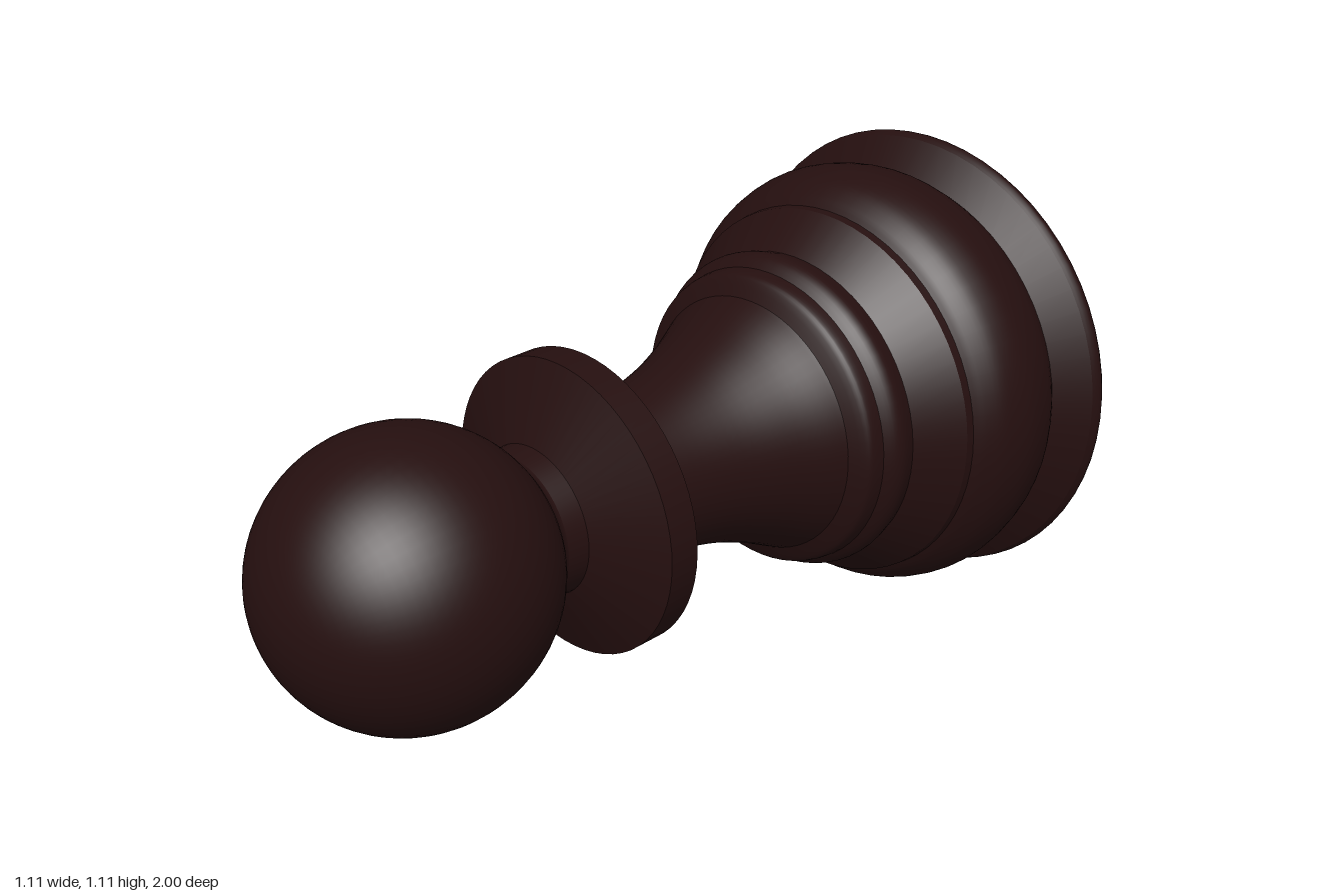
import * as THREE from 'three';

const AXIS_Y = 0.557;

export function createModel() {
  const group = new THREE.Group();
  const darkWood = new THREE.MeshStandardMaterial({ color: 0x250f0f });
  darkWood.name = 'darkWood';

  // Turned part lying along z; profile points are [radius, z], back to front.
  // Separate parts keep a sharp edge where they meet.
  function turned(name, points) {
    const geometry = new THREE.LatheGeometry(points.map(([r, z]) => new THREE.Vector2(r, z)), 64);
    geometry.rotateX(Math.PI / 2);
    const mesh = new THREE.Mesh(geometry, darkWood);
    mesh.name = name;
    mesh.position.y = AXIS_Y;
    group.add(mesh);
  }

  // Smooth profile through a few points
  function smooth(points, divisions) {
    const curve = new THREE.SplineCurve(points.map(([r, z]) => new THREE.Vector2(r, z)));
    return curve.getPoints(divisions).map((p) => [p.x, p.y]);
  }

  // Foot: flat underside and bevelled rim
  turned('footUnderside', [[0, -1], [0.475, -1]]);
  turned('footBevel', [[0.475, -1], [0.546, -0.915]]);
  turned('footRim', smooth([[0.546, -0.915], [0.556, -0.895], [0.547, -0.875]], 6));
  turned('footShoulder', [[0.547, -0.875], [0.475, -0.82]]);

  // Rounded belly of the base
  turned('baseBelly', smooth([[0.475, -0.82], [0.502, -0.77], [0.517, -0.69],
    [0.503, -0.62], [0.475, -0.575], [0.452, -0.555]], 24));
  turned('baseLedge', [[0.452, -0.555], [0.45, -0.535]]);
  turned('baseSlope', [[0.45, -0.535], [0.373, -0.44]]);

  // Stacked rings below the stem
  turned('lowerRing', smooth([[0.373, -0.44], [0.381, -0.405], [0.374, -0.38], [0.356, -0.36]], 10));
  turned('upperRing', smooth([[0.356, -0.36], [0.352, -0.335], [0.342, -0.32], [0.305, -0.3]], 10));

  // Flared stem
  turned('stem', smooth([[0.305, -0.3], [0.295, -0.28], [0.256, -0.2], [0.219, -0.1],
    [0.196, 0], [0.184, 0.1], [0.18, 0.2]], 24));

  // Collar with flat back and tapered front
  turned('collarBack', [[0.18, 0.2], [0.335, 0.2]]);
  turned('collarRim', [[0.335, 0.2], [0.335, 0.272]]);
  turned('collarTaper', [[0.335, 0.272], [0.168, 0.345]]);
  turned('neck', [[0.168, 0.345], [0.163, 0.395]]);

  // Ball head, cut off where it joins the neck
  const head = [[0.163, 0.395]];
  const start = -1.02;
  for (let i = 0; i <= 32; i++) {
    const a = start + (Math.PI / 2 - start) * (i / 32);
    head.push([Math.max(0, 0.315 * Math.cos(a)), 0.68 + 0.32 * Math.sin(a)]);
  }
  turned('head', head);

  return group;
}
